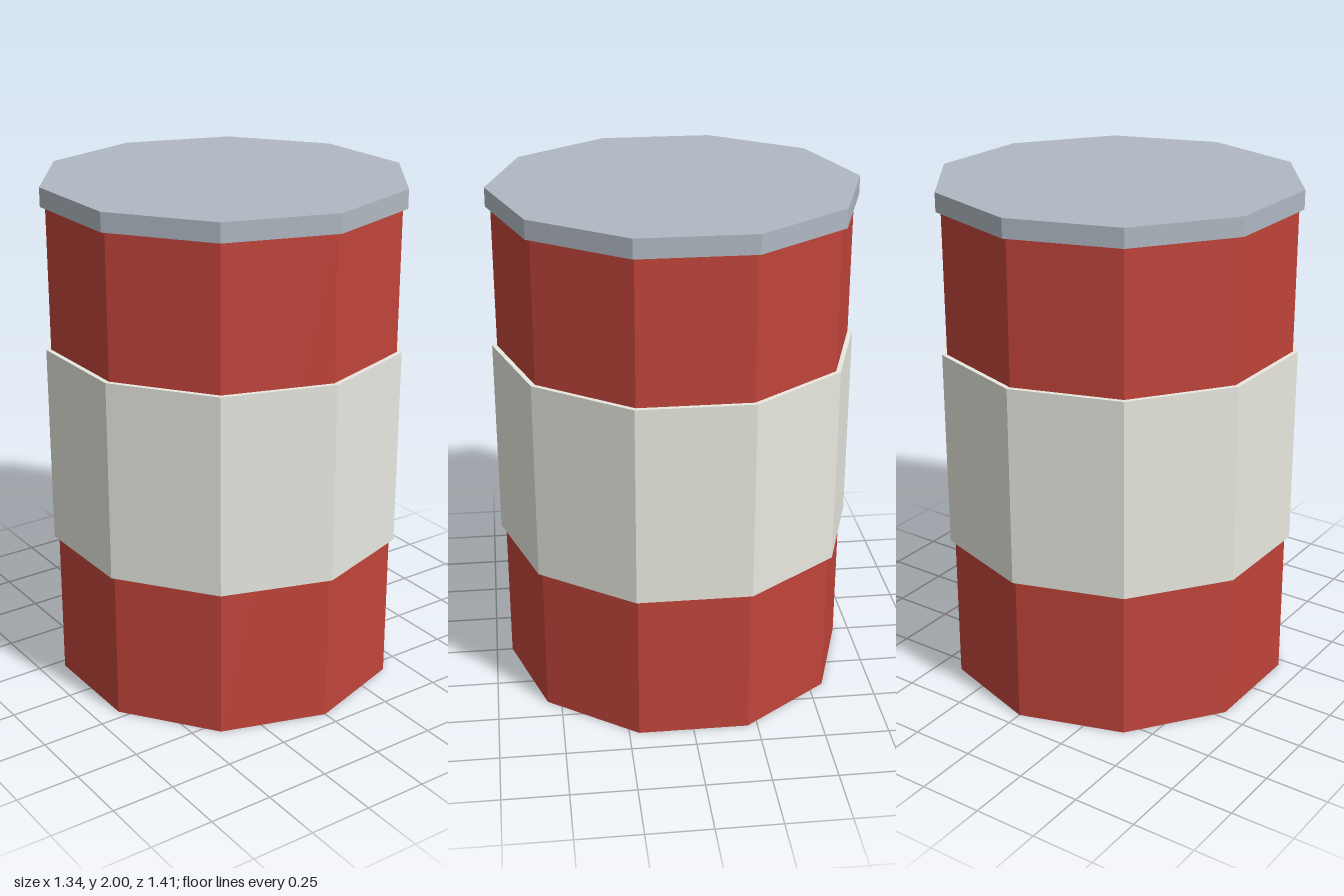
import * as THREE from 'three';

const SIDES = 10;

// Ten-sided drum section standing between two heights
function section(name, radius, bottom, top, color) {
  const geometry = new THREE.CylinderGeometry(radius, radius, top - bottom, SIDES);
  const material = new THREE.MeshStandardMaterial({ color, flatShading: true });
  const mesh = new THREE.Mesh(geometry, material);
  mesh.name = name;
  mesh.position.y = (bottom + top) / 2;
  return mesh;
}

export function createModel() {
  const group = new THREE.Group();
  group.name = 'canister';
  group.add(
    section('body', 0.686, 0, 1.95, 0xc0443a),
    section('labelBand', 0.705, 0.593, 1.375, 0xe8e8e0),
    section('lid', 0.705, 1.927, 2, 0xb0b8c2),
  );
  return group;
}
